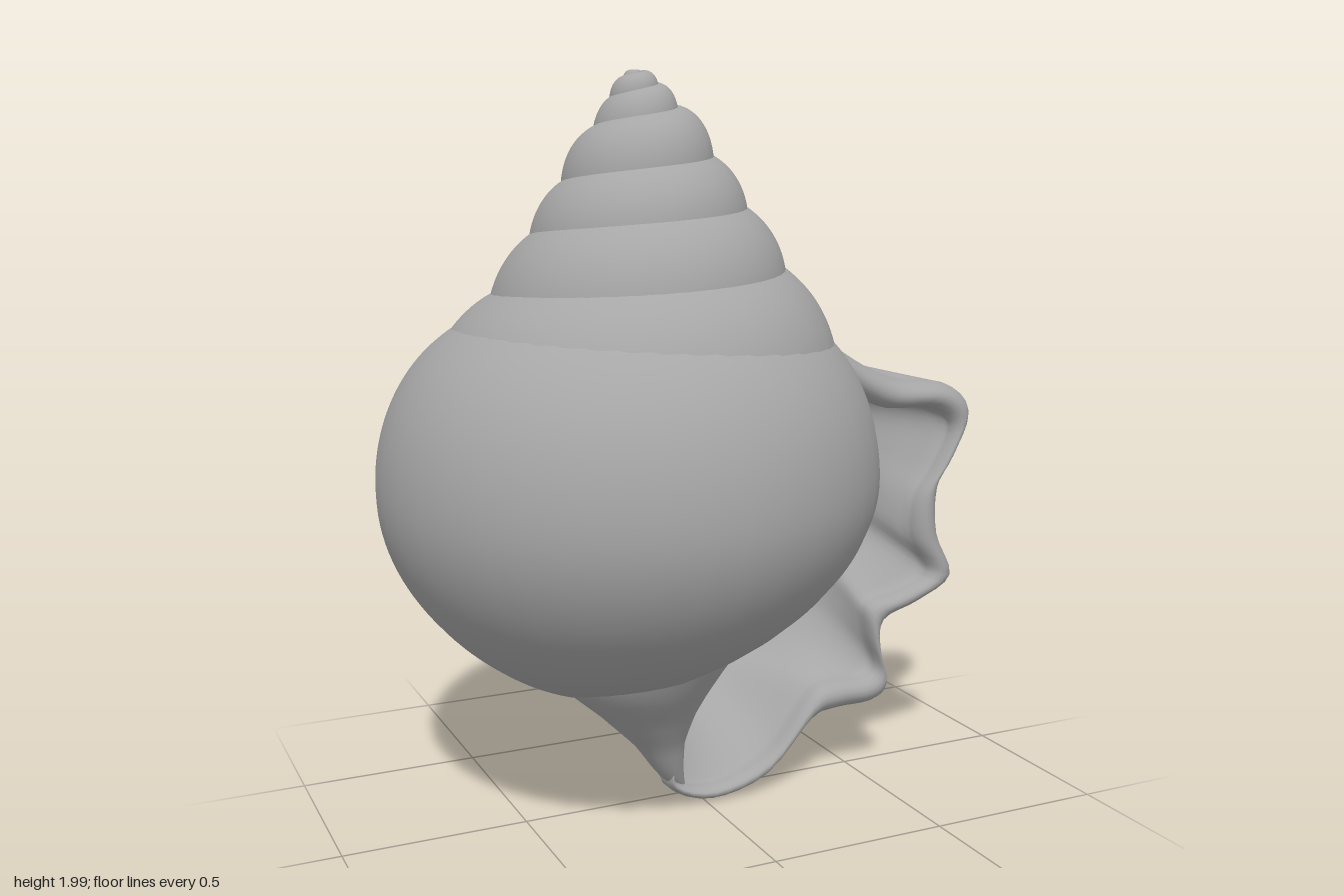
import * as THREE from 'three';

const M = 100; // points round each section

// Growth of the whorl: turns back from the lip, radius, middle, top and bottom height
const GROWTH = [
  [0, 0.75, 0.82, 1.33, 0.2], [0.1, 0.735, 0.86, 1.36, 0.22],
  [0.25, 0.70, 0.9, 1.38, 0.25], [0.5, 0.68, 0.93, 1.395, 0.33],
  [0.75, 0.675, 0.93, 1.405, 0.39], [1, 0.645, 0.97, 1.42, 0.48], [1.5, 0.55, 1.15, 1.47, 0.7],
  [2, 0.5, 1.21, 1.55, 0.9], [2.5, 0.41, 1.35, 1.63, 1.1], [3, 0.36, 1.47, 1.69, 1.2],
  [3.5, 0.3, 1.55, 1.75, 1.35], [4, 0.26, 1.63, 1.805, 1.45], [4.5, 0.215, 1.71, 1.87, 1.55],
  [5, 0.17, 1.77, 1.915, 1.64], [6, 0.088, 1.9, 1.97, 1.8], [7, 0.055, 1.955, 1.998, 1.91],
  [8, 0.01, 1.985, 1.998, 1.97],
];

// Wavy outline of the flared lip (x, y): outer edge downwards, then the inner wall upwards
const LIP = [
  [0.3, 1.29], [0.38, 1.28], [0.5, 1.21], [0.62, 1.16], [0.78, 1.14], [0.855, 1.07], [0.81, 0.95],
  [0.755, 0.85], [0.76, 0.7], [0.81, 0.57], [0.7, 0.5], [0.58, 0.45], [0.57, 0.35], [0.59, 0.25],
  [0.54, 0.21], [0.42, 0.205], [0.33, 0.18], [0.18, 0.04], [0.01, 0.005],
  [-0.11, 0.06], [-0.1, 0.15], [-0.04, 0.3], [0.05, 0.5], [0.15, 0.8], [0.22, 1.12],
];
const lipCurve = new THREE.CatmullRomCurve3(
  LIP.map(([x, y]) => new THREE.Vector3(x + 0.18, y, 0)), true, 'catmullrom', 0.5);
const lipPoints = Array.from({ length: M }, (_, j) => lipCurve.getPoint(j / M));
const { lerp, smoothstep } = THREE.MathUtils;

function growthAt(u) {
  let i = 0;
  while (i < GROWTH.length - 2 && u > GROWTH[i + 1][0]) i++;
  const a = GROWTH[i], b = GROWTH[i + 1], t = (u - a[0]) / (b[0] - a[0]);
  return a.map((v, k) => lerp(v, b[k], t));
}

// One section of the whorl, u turns back from the lip, shrunk by inset
function section(u, inset = 0, bulge = 0) {
  const [, R, mid, top, bottom] = growthAt(u);
  const phi = u * Math.PI * 2;
  const lean = smoothstep(u, 1, 2); // the spire leans slightly off the body's axis
  const ax = lerp(-0.18, -0.15, lean) - 0.025 * smoothstep(u, 5, 7), az = lerp(0.01, 0.03, lean);
  const taper = lerp(0.12, 0.3, smoothstep(u, 0, 0.3)); // base fills out towards the lip
  return lipPoints.map((lip, j) => {
    const k = j / M * LIP.length;
    const a = k <= 18 ? k / 18 * Math.PI : Math.PI * (1 + (k - 18) / 7);
    const c = Math.cos(a);
    let r = R * (0.44 + 0.56 * Math.sin(a) - (c < 0 ? taper * c * c : 0));
    let y = mid + c * (c > 0 ? top - mid : mid - bottom);
    // the flare is abrupt on the outer edge and gradual at the tip
    const w = Math.pow(Math.max(0, 1 - phi / 1.5), 3.5 + 8 * smoothstep(lip.x, 0.35, 0.85));
    r = lerp(r, lip.x, w);
    y = lerp(y, lip.y, w);
    const dx = 0.55 - r, dy = 0.65 - y, d = Math.hypot(dx, dy) || 1;
    const thick = inset * (1 - 0.8 * smoothstep(k, 16, 20));
    r += dx / d * thick;
    y += dy / d * thick;
    return [ax + r * Math.cos(phi), y, az - r * Math.sin(phi) + 0.025 * w + bulge];
  });
}

// Skin over closed rings with equal point counts
function loft(rings) {
  const n = rings[0].length, index = [];
  for (let i = 0; i < rings.length - 1; i++) {
    for (let j = 0; j < n; j++) {
      const a = i * n + j, b = i * n + (j + 1) % n;
      index.push(a, a + n, b, b, a + n, b + n);
    }
  }
  const g = new THREE.BufferGeometry();
  g.setAttribute('position', new THREE.Float32BufferAttribute(rings.flat(2), 3));
  g.setIndex(index);
  g.computeVertexNormals();
  return g;
}

export function createModel() {
  const model = new THREE.Group();
  model.name = 'seaShell';
  const shell = new THREE.MeshStandardMaterial({ color: 0xa6a6a6, side: THREE.DoubleSide });
  shell.name = 'shell grey';
  const add = (name, geometry) => {
    const mesh = new THREE.Mesh(geometry, shell);
    mesh.name = name;
    model.add(mesh);
  };

  // Coiled whorls from the apex to the flared lip, rounded over the rim and back inside
  const rings = [];
  for (let i = 0; i < 310; i++) rings.push(section(8 - i / 40));
  for (let i = 0; i <= 36; i++) rings.push(section(0.25 * Math.pow(1 - i / 36, 1.5)));
  for (let i = 1; i < 10; i++) {
    const t = i / 10 * Math.PI;
    rings.push(section(0, 0.045 * (1 - Math.cos(t)), 0.02 * t / Math.PI + 0.065 * Math.sin(t)));
  }
  for (let i = 0; i <= 24; i++) {
    const t = i / 24;
    rings.push(section(0.3 * Math.pow(t, 1.5), lerp(0.09, 0.05, t), 0.02 * (1 - t)));
  }
  add('whorls', loft(rings));

  // Columella: tapering pillar from the base of the body down to the tip (y, x, z, radius)
  const pillar = [
    [0.65, -0.16, 0.06, 0.32], [0.5, -0.19, 0.06, 0.285], [0.4, -0.2, 0.07, 0.22],
    [0.3, -0.175, 0.08, 0.135], [0.2, -0.14, 0.08, 0.07], [0.1, -0.1, 0.07, 0.035], [0.04, -0.06, 0.06, 0.01],
  ];
  const centres = new THREE.CatmullRomCurve3(pillar.map(([y, x, z]) => new THREE.Vector3(x, y, z)));
  const radii = new THREE.CatmullRomCurve3(pillar.map(([, , , r]) => new THREE.Vector3(r, 0, 0)));
  add('columella', loft(Array.from({ length: 25 }, (_, i) => {
    const p = centres.getPoint(i / 24), r = radii.getPoint(i / 24).x;
    return Array.from({ length: 40 }, (_, j) => {
      const a = -j / 40 * Math.PI * 2;
      return [p.x + r * Math.cos(a), p.y, p.z + r * Math.sin(a)];
    });
  })));

  return model;
}
